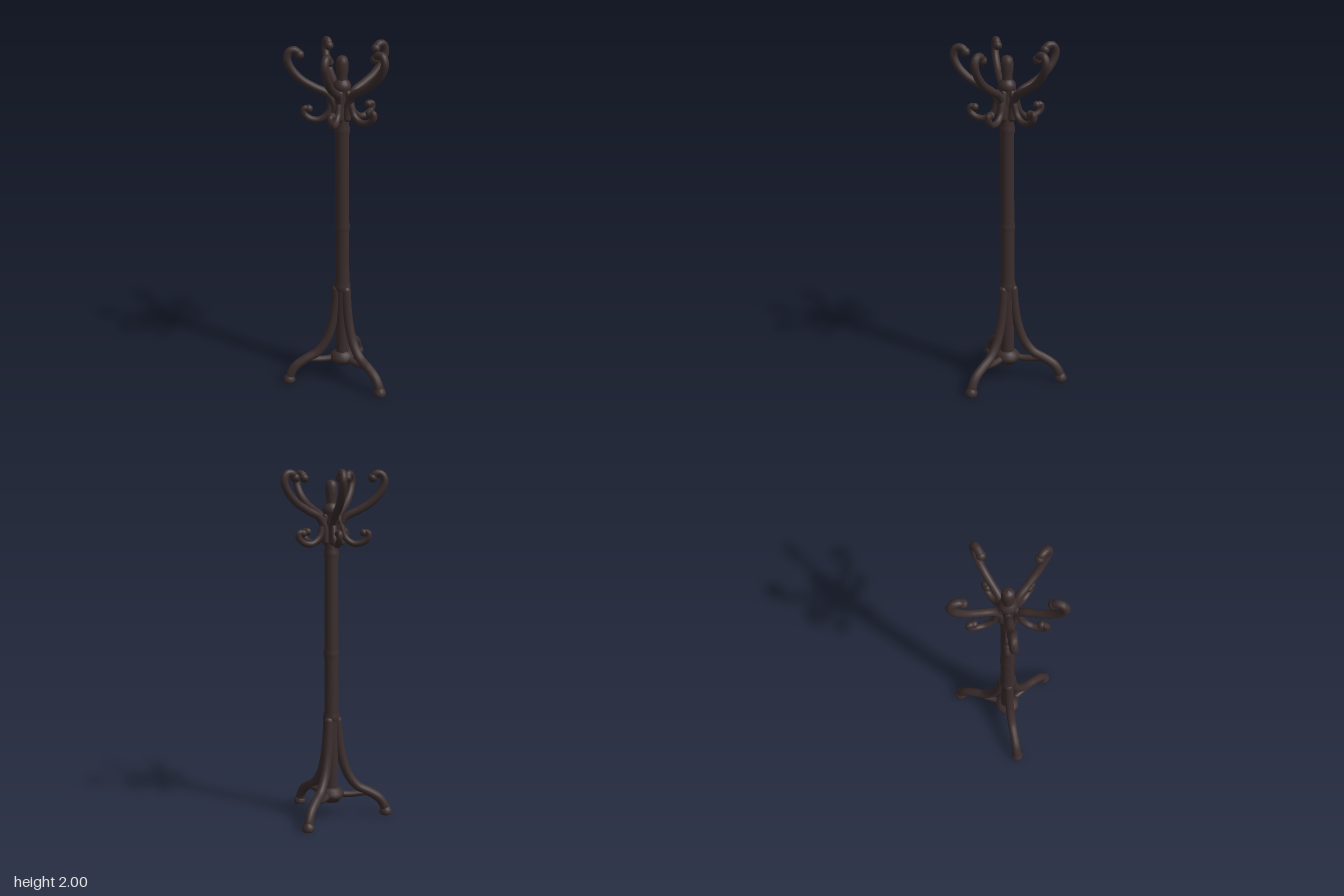
import * as THREE from 'three';

const wood = new THREE.MeshStandardMaterial({ color: 0x3b2d2d });
wood.name = 'dark wood';

function mesh(name, geometry, parent) {
  const m = new THREE.Mesh(geometry, wood);
  m.name = name;
  parent.add(m);
  return m;
}

function lathe(name, profile, parent, sides = 24) {
  return mesh(name, new THREE.LatheGeometry(profile.map(([r, y]) => new THREE.Vector2(r, y)), sides), parent);
}

// Bent rod through [radius, height] points, reaching out along +x, with a round tip
function bentRod(name, points, thickness, tip, parent) {
  const path = new THREE.CatmullRomCurve3(points.map(([r, y]) => new THREE.Vector3(r, y, 0)));
  mesh(name, new THREE.TubeGeometry(path, 48, thickness, 12), parent);
  for (const [end, radius] of [[points[0], thickness], [points[points.length - 1], tip]]) {
    const ball = mesh(name + 'End', new THREE.SphereGeometry(radius, 14, 10), parent);
    ball.position.set(end[0], end[1], 0);
  }
}

// One group for each compass angle (0 = +x, 90 = front)
function around(name, angles, parent, build) {
  for (const a of angles) {
    const g = new THREE.Group();
    g.name = name;
    g.rotation.y = -THREE.MathUtils.degToRad(a);
    parent.add(g);
    build(g);
  }
}

export function createModel() {
  const model = new THREE.Group();
  model.name = 'coatStand';
  const stand = new THREE.Group();
  stand.name = 'stand';
  stand.position.z = 0.018;
  model.add(stand);

  // Turned pole with rings
  lathe('pole', [
    [0, 0.09], [0.036, 0.09], [0.04, 0.11], [0.04, 0.56], [0.047, 0.575], [0.048, 0.6], [0.041, 0.625],
    [0.04, 0.93], [0.044, 0.945], [0.044, 0.97], [0.04, 0.985],
    [0.039, 1.5], [0.043, 1.515], [0.043, 1.54], [0.038, 1.56], [0.036, 1.74],
    [0.048, 1.755], [0.05, 1.775], [0.044, 1.795], [0.03, 1.81],
  ], stand);

  // Finial
  lathe('finial', [
    [0.03, 1.8], [0.028, 1.83], [0.034, 1.86], [0.035, 1.9], [0.031, 1.925], [0.02, 1.938], [0, 1.944],
  ], stand);

  // Collar that the leg braces run into
  lathe('collar', [
    [0, 0.088], [0.045, 0.09], [0.053, 0.105], [0.072, 0.12], [0.074, 0.145], [0.055, 0.165], [0.038, 0.175],
  ], stand);

  // Three splayed legs, each with a foot and a brace
  around('leg', [30, 150, 270], stand, (g) => {
    bentRod('legRod', [
      [0.034, 0.57], [0.042, 0.47], [0.062, 0.35], [0.1, 0.245], [0.155, 0.175],
      [0.225, 0.138], [0.282, 0.1], [0.312, 0.055], [0.32, 0.025],
    ], 0.027, 0.027, g);
    const foot = lathe('foot', [
      [0, 0], [0.03, 0], [0.036, 0.008], [0.036, 0.022], [0.03, 0.036], [0.02, 0.05],
    ], g, 16);
    foot.position.x = 0.322;
    bentRod('brace', [[0.03, 0.135], [0.1, 0.128], [0.16, 0.132], [0.215, 0.14]], 0.019, 0.019, g);
  });

  // Five large upper hooks
  around('upperHook', [90, 24, 156, -54, 234], stand, (g) => bentRod('upperHookRod', [
    [0.036, 1.6], [0.044, 1.675], [0.08, 1.735], [0.15, 1.772], [0.22, 1.815],
    [0.275, 1.875], [0.298, 1.935], [0.282, 1.972], [0.25, 1.975], [0.23, 1.952],
  ], 0.022, 0.026, g));

  // Five small lower hooks
  around('lowerHook', [90, 18, 162, -54, 234], stand, (g) => bentRod('lowerHookRod', [
    [0.038, 1.74], [0.058, 1.68], [0.08, 1.62], [0.125, 1.588],
    [0.175, 1.593], [0.208, 1.622], [0.207, 1.65], [0.182, 1.648],
  ], 0.018, 0.022, g));

  return model;
}
